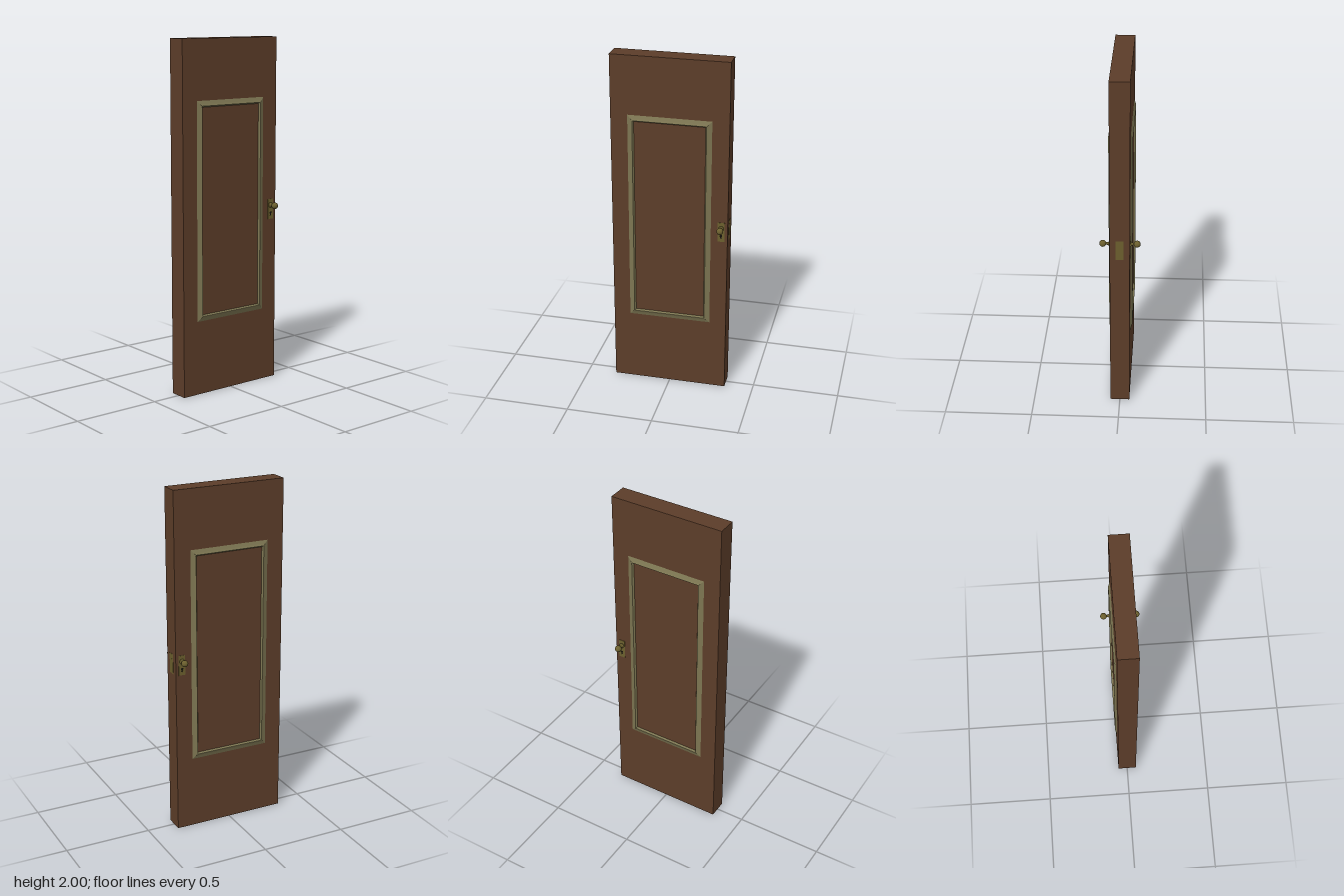
import * as THREE from 'three';

const material = (color, side = THREE.FrontSide) => new THREE.MeshStandardMaterial({ color, side });

function add(parent, name, geometry, mat, x = 0, y = 0, z = 0) {
  const mesh = new THREE.Mesh(geometry, mat);
  mesh.name = name;
  mesh.position.set(x, y, z);
  parent.add(mesh);
  return mesh;
}

// Mitred rectangular frame: each profile point is [inset from outer edge, height]
function frameGeometry(halfW, halfH, profile) {
  const corners = [[-1, -1], [1, -1], [1, 1], [-1, 1]];
  const point = ([sx, sy], [inset, h]) => [sx * (halfW - inset), sy * (halfH - inset), h];
  const positions = [];
  for (let i = 0; i < 4; i++) {
    const a = corners[i], b = corners[(i + 1) % 4];
    for (let j = 0; j < profile.length - 1; j++) {
      const p = point(a, profile[j]), q = point(b, profile[j]);
      const r = point(b, profile[j + 1]), s = point(a, profile[j + 1]);
      positions.push(...p, ...q, ...r, ...p, ...r, ...s);
    }
  }
  const geometry = new THREE.BufferGeometry();
  geometry.setAttribute('position', new THREE.Float32BufferAttribute(positions, 3));
  geometry.computeVertexNormals();
  return geometry;
}

// Keyhole outline: round top over a flared slot
function keyholePoints() {
  const points = [new THREE.Vector2(-0.006, -0.016), new THREE.Vector2(0.006, -0.016)];
  for (let i = 0; i <= 14; i++) {
    const a = -1.1 + (i / 14) * (Math.PI + 2.2);
    points.push(new THREE.Vector2(0.0075 * Math.cos(a), 0.0075 * Math.sin(a)));
  }
  return points;
}

function plateShape(w, h) {
  return new THREE.Shape([[-w, -h], [w, -h], [w, h], [-w, h]].map(([x, y]) => new THREE.Vector2(x / 2, y / 2)));
}

export function createModel() {
  const door = new THREE.Group();
  door.name = 'door';
  const wood = material(0x5c3d29);
  const trim = material(0x7d7652);
  const brass = material(0x6b5f2e);
  const dark = material(0x15120c, THREE.DoubleSide);
  const halfDepth = 0.055;

  add(door, 'doorSlab', new THREE.BoxGeometry(0.666, 2, halfDepth * 2), wood, 0, 1, 0);

  // Raised moulding: long outer bevel, narrow crest, steep inner side
  const moulding = frameGeometry(0.237, 0.619,
    [[0, 0], [0.018, 0.007], [0.026, 0.011], [0.029, 0.011], [0.036, 0]]);

  // Face plate with a keyhole cut through it
  const shape = plateShape(0.04, 0.117);
  shape.holes.push(new THREE.Path(keyholePoints().map(p => new THREE.Vector2(p.x, p.y - 0.022))));
  const plate = new THREE.ExtrudeGeometry(shape, { depth: 0.002, bevelEnabled: false });
  const keyhole = new THREE.ShapeGeometry(new THREE.Shape(keyholePoints()));

  // Rose and tapering neck, turned around the knob axis
  const stem = new THREE.LatheGeometry(
    [[0, 0], [0.015, 0], [0.015, 0.004], [0.009, 0.007], [0.008, 0.01], [0.0055, 0.025], [0.0055, 0.032]]
      .map(([r, h]) => new THREE.Vector2(r, h)), 24);
  stem.rotateX(Math.PI / 2);
  const knob = new THREE.SphereGeometry(0.019, 24, 16);

  // Same fittings on both faces, with the lock on the +x edge
  for (const [name, s] of [['front', 1], ['back', -1]]) {
    const face = new THREE.Group();
    face.name = name + 'Face';
    if (s < 0) face.rotation.y = Math.PI;
    const x = 0.296 * s;
    add(face, 'panelMoulding', moulding, trim, 0, 1.044, halfDepth);
    add(face, 'lockPlate', plate, brass, x, 1.012, halfDepth);
    add(face, 'keyhole', keyhole, dark, x, 0.99, halfDepth + 0.0005);
    add(face, 'knobStem', stem, brass, x, 1.035, halfDepth + 0.001);
    add(face, 'knob', knob, brass, x, 1.035, 0.094);
    door.add(face);
  }

  // Latch plate and bolt on the door edge
  add(door, 'latchPlate', new THREE.BoxGeometry(0.003, 0.117, 0.044), brass, 0.3325, 1.012, 0);
  const bolt = add(door, 'latchBolt', new THREE.CylinderGeometry(0.009, 0.009, 0.004, 20), brass, 0.3328, 1.035, 0);
  bolt.rotation.z = Math.PI / 2;

  return door;
}
